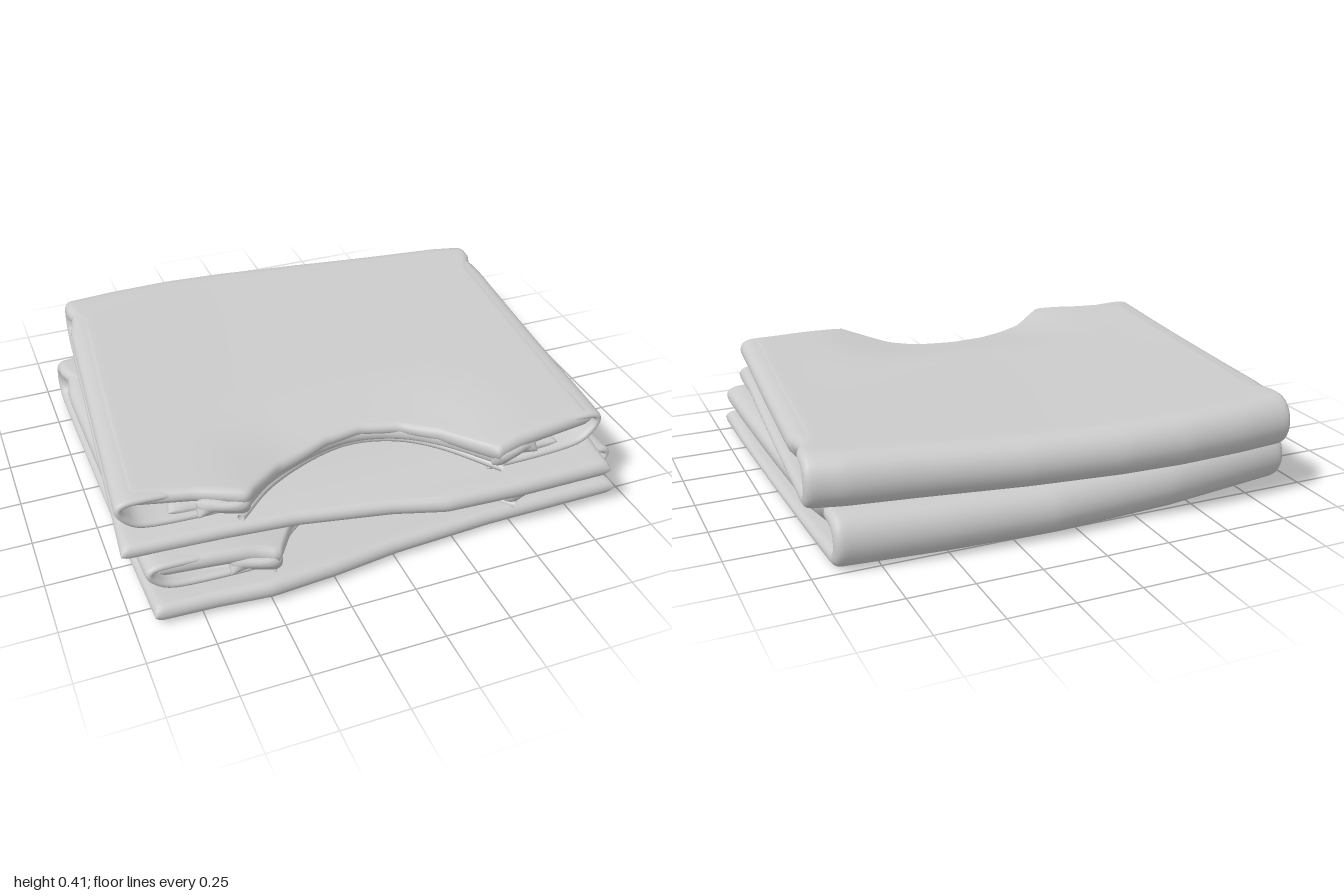
import * as THREE from 'three';
import { mergeVertices } from 'three/addons/utils/BufferGeometryUtils.js';

const { lerp, smoothstep, clamp } = THREE.MathUtils;
const material = new THREE.MeshStandardMaterial({ color: 0xcccccc, side: THREE.DoubleSide });

// Piecewise linear lookup in a list of [x, value] pairs
function along(table, x) {
  let i = 1;
  while (i < table.length - 1 && x > table[i][0]) i++;
  const [x0, a] = table[i - 1], [x1, b] = table[i];
  return lerp(a, b, clamp((x - x0) / (x1 - x0), 0, 1));
}

// Sample positions from 0 to 1, with extra ones in the rounded rims
function samples(n, e) {
  const rim = [0, 0.08 * e, 0.3 * e, 0.6 * e];
  const list = [...rim];
  for (let i = 0; i <= n; i++) list.push(lerp(e, 1 - e, i / n));
  return list.concat(rim.map((r) => 1 - r).reverse());
}

// Cloth around the surface path(s, u), rounded on all four rims; thick(z) is half its thickness
function cloth(name, path, thick, ns, nu, es, eu) {
  const S = samples(ns, es), U = samples(nu, eu), pos = [], index = [];
  const round = (a, e) => Math.sqrt(Math.max(0, 1 - (1 - Math.min(1, Math.min(a, 1 - a) / e)) ** 2));
  const step = (f, a) => f(Math.min(1, a + 0.002)).sub(f(Math.max(0, a - 0.002)));
  for (const side of [1, -1]) {
    const base = pos.length / 3;
    S.forEach((s, i) => U.forEach((u, j) => {
      const n = step((a) => path(a, u), s).cross(step((a) => path(s, a), u)).normalize();
      const p = path(s, u);
      p.addScaledVector(n, side * thick(p.z) * round(s, es) * round(u, eu));
      pos.push(p.x, p.y, p.z);
      if (i && j) {
        const d = base + i * U.length + j, c = d - 1, b = d - U.length, a = b - 1;
        if (side > 0) index.push(a, c, b, b, c, d);
        else index.push(a, b, c, b, d, c);
      }
    }));
  }
  let geometry = new THREE.BufferGeometry();
  geometry.setAttribute('position', new THREE.Float32BufferAttribute(pos, 3));
  geometry.setIndex(index);
  geometry = mergeVertices(geometry, 1e-5);
  geometry.computeVertexNormals();
  const mesh = new THREE.Mesh(geometry, material);
  mesh.name = name;
  return mesh;
}

const bodyThick = (z) => 0.021 + 0.021 * z * z;
const thin = () => 0.015;
const soft = () => 0.026;

function shirt(name, { base, top, droop, left, right, back, bottomFront, topFront, neck }) {
  const group = new THREE.Group();
  group.name = name;
  const edge = (side, z) => along(side < 0 ? left : right, z);
  const across = (u, z) => lerp(edge(-1, z), edge(1, z), u);

  // Heights of the two layers; the top one sags towards the neckline
  const yBottom = (z) => base + bodyThick(z) - droop * smoothstep(z, 0.5, 0.9);
  const topSkin = (x, z) => top + 0.01 * x * x + 0.012 * z * z + 0.003 * Math.sin(4 * x + 3 * z)
    - 0.045 * Math.exp(-(((x + 0.04) / 0.47) ** 4)) * smoothstep(z, 0.15, 0.6);
  const yTop = (x, z) => topSkin(x, z) - bodyThick(z);

  // Body: lower layer, fold at the back, upper layer with the neck opening
  const body = (s, u) => {
    const xFront = across(u, 0.7), xBack = across(u, -0.78);
    const rear = along(back, xBack) + 0.035;
    const r = (top - base) / 2 - 0.033, turn = rear + r;
    let y, z, inset = 0;
    if (s < 0.43) {
      z = lerp(along(bottomFront, xFront), turn, s / 0.43);
      y = yBottom(z);
    } else if (s > 0.57) {
      z = lerp(turn, along(topFront, xFront), (s - 0.57) / 0.43);
      y = yTop(across(u, z), z);
      inset = 0.045 * smoothstep(z, turn + 0.02, turn + 0.16);
    } else {
      const a = Math.PI * (s - 0.43) / 0.14;
      const y0 = yBottom(turn), y1 = yTop(xBack, turn);
      z = turn - r * Math.sin(a);
      y = (y0 + y1) / 2 - (y1 - y0) / 2 * Math.cos(a);
    }
    return new THREE.Vector3(lerp(edge(-1, z) + inset, edge(1, z) - inset, u), y, z);
  };
  group.add(cloth('foldedBody', body, bodyThick, 84, 84, 0.01, 0.018));

  for (const side of [-1, 1]) {
    // Side roll: the flank of the top layer, sloping inwards and turned under onto the lower layer
    const roll = new THREE.SplineCurve([
      [0.2, 0.86], [0.06, 0.88], [0.014, 0.74], [0.03, 0.42], [0.1, 0.1], [0.28, 0], [0.48, 0],
    ].map(([d, h]) => new THREE.Vector2(d, h)));
    const front = along(topFront, side * 0.85);
    const rear = along(back, edge(side, -0.78)) + 0.1;
    group.add(cloth(side < 0 ? 'rightSideRoll' : 'leftSideRoll', (s, u) => {
      const p = roll.getPoint(s);
      const z = lerp(rear, front, u);
      const hollow = 0.09 * smoothstep(-z, -rear - 0.2, -rear) * smoothstep(s, 0.2, 0.5);
      const x = edge(side, z) - side * (p.x + hollow);
      const low = yBottom(z) + bodyThick(z) + 0.012;
      return new THREE.Vector3(x, lerp(low, topSkin(x, z), p.y), z);
    }, thin, 28, 28, 0.03, 0.015));

    // Sleeve: a soft flattened roll tucked inside the flank
    group.add(cloth(side < 0 ? 'rightSleeve' : 'leftSleeve', (s, u) => {
      const z = lerp(-0.4, front - 0.02, u);
      const inset = lerp(0.17, 0.36, s) + 0.03 * Math.sin(4 * z);
      return new THREE.Vector3(edge(side, z) - side * inset, base + 0.09 + 0.01 * Math.sin(5 * z + 3 * s), z);
    }, soft, 8, 16, 0.4, 0.05));

    // Bunched cloth where the collar meets the shoulder
    const [kx, kz] = neck[side < 0 ? 0 : neck.length - 1];
    group.add(cloth(side < 0 ? 'rightCollarEnd' : 'leftCollarEnd', (s, u) => new THREE.Vector3(
      kx + side * lerp(-0.04, 0.15, s), lerp(top - 0.045, base + 0.09, u) + 0.015 * s,
      kz - 0.04 + 0.015 * Math.sin(3 * u + 4 * s)), soft, 8, 8, 0.2, 0.3));
  }

  // Collar: a band hanging from the rim of the neck opening
  const curve = new THREE.CatmullRomCurve3(neck.map(([x, z]) => new THREE.Vector3(x, 0, z)));
  group.add(cloth('collar', (s, u) => {
    const p = curve.getPoint(s);
    p.y = lerp(yTop(p.x, p.z), base + 0.09, u);
    p.z += 0.01 * Math.sin(Math.PI * u) - 0.025;
    return p;
  }, thin, 36, 8, 0.015, 0.25));

  // Collar hem: the thin bead along the lower rim of the band
  curve.points.forEach((p) => { p.y = base + 0.08 + 0.01 * Math.cos(5 * p.x); p.z -= 0.02; });
  const hem = new THREE.Mesh(new THREE.TubeGeometry(curve, 40, 0.015, 8), material);
  hem.name = 'collarHem';
  group.add(hem);
  return group;
}

export function createModel() {
  const model = new THREE.Group();
  model.name = 'foldedShirts';

  const lowerNeck = [[-0.48, 0.83], [-0.35, 0.64], [-0.16, 0.53], [0, 0.5], [0.18, 0.53], [0.35, 0.62], [0.52, 0.8]];
  model.add(shirt('lowerShirt', {
    base: 0.005, top: 0.198, droop: -0.01,
    left: [[-0.72, -0.955], [0.86, -0.925]],
    right: [[-0.77, 0.915], [0.79, 0.96]],
    back: [[-0.95, -0.72], [-0.85, -0.735], [-0.4, -0.8], [0.1, -0.83], [0.5, -0.81], [0.91, -0.775]],
    bottomFront: [[-0.92, 0.85], [-0.7, 0.86], [-0.5, 0.88], [-0.25, 0.86], [0, 0.825], [0.4, 0.8], [0.96, 0.795]],
    topFront: [[-0.92, 0.77], [-0.56, 0.8], ...lowerNeck, [0.62, 0.77], [0.95, 0.72]],
    neck: lowerNeck,
  }));

  const upperNeck = [[-0.56, 0.73], [-0.4, 0.59], [-0.17, 0.49], [-0.02, 0.47], [0.14, 0.51], [0.27, 0.6], [0.44, 0.81]];
  model.add(shirt('upperShirt', {
    base: 0.211, top: 0.402, droop: 0.035,
    left: [[-0.86, -0.865], [0.7, -0.995]],
    right: [[-0.71, 0.995], [0.87, 0.87]],
    back: [[-0.86, -0.86], [-0.65, -0.88], [-0.4, -0.89], [-0.15, -0.88], [0.2, -0.84], [0.6, -0.775], [0.85, -0.74], [0.99, -0.705]],
    bottomFront: [[-0.99, 0.7], [-0.6, 0.72], [-0.35, 0.74], [0, 0.8], [0.2, 0.855], [0.5, 0.87], [0.87, 0.87]],
    topFront: [[-0.99, 0.61], [-0.75, 0.66], ...upperNeck, [0.55, 0.785], [0.88, 0.75]],
    neck: upperNeck,
  }));
  return model;
}
